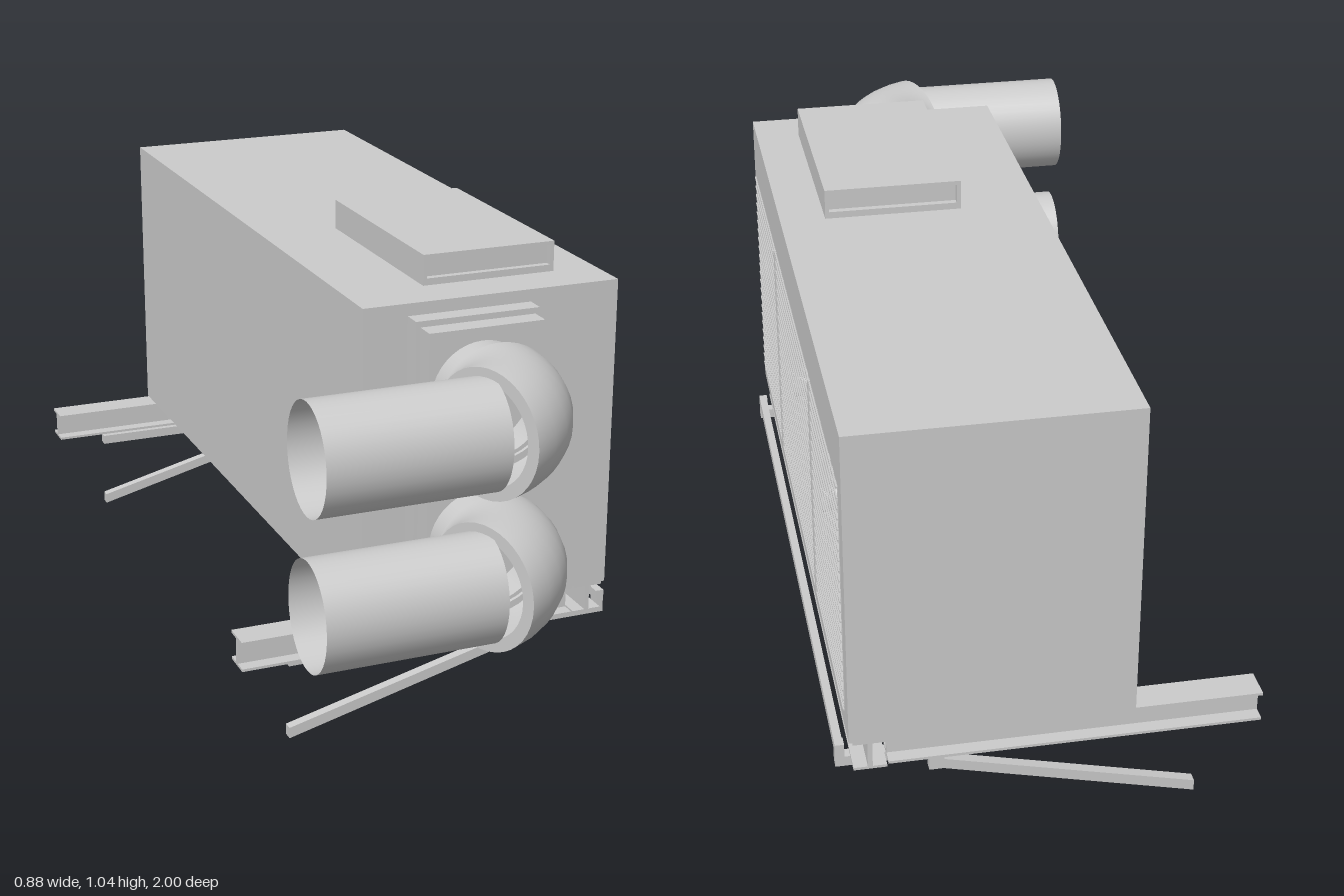
import * as THREE from 'three';

const mat = new THREE.MeshStandardMaterial({ color: 0xcccccc });
const openMat = new THREE.MeshStandardMaterial({ color: 0xcccccc, side: THREE.DoubleSide });

function add(parent, name, geo, material = mat) {
  const m = new THREE.Mesh(geo, material);
  m.name = name;
  parent.add(m);
  return m;
}

// Box given by its minimum and maximum on each axis
function box(parent, name, x0, x1, y0, y1, z0, z1) {
  const m = add(parent, name, new THREE.BoxGeometry(x1 - x0, y1 - y0, z1 - z0));
  m.position.set((x0 + x1) / 2, (y0 + y1) / 2, (z0 + z1) / 2);
  return m;
}

function rect(x0, x1, y0, y1, C = THREE.Shape) {
  return new C([[x0, y0], [x1, y0], [x1, y1], [x0, y1]].map(p => new THREE.Vector2(...p)));
}

function extrude(shape, depth) {
  return new THREE.ExtrudeGeometry(shape, { depth, bevelEnabled: false, curveSegments: 8 });
}

function group(parent, name) {
  const g = new THREE.Group();
  g.name = name;
  parent.add(g);
  return g;
}

// Hollow cabinet with one long opening on the +x side
function cabinet(parent) {
  const g = group(parent, 'cabinet'), t = 0.012;
  box(g, 'roof', -0.17, 0.405, 0.97 - t, 0.97, -1, 0.565);
  box(g, 'floor', -0.17, 0.405, 0.27, 0.27 + t, -1, 0.565);
  box(g, 'backWall', -0.17, -0.17 + t, 0.27 + t, 0.97 - t, -1, 0.565);
  for (const z of [-1, 0.565 - t]) box(g, 'endWall', -0.17 + t, 0.405, 0.27 + t, 0.97 - t, z, z + t);
  const face = rect(-0.565, 1, 0.27, 0.97);
  face.holes.push(rect(-0.537, 0.955, 0.318, 0.837, THREE.Path));
  const m = add(g, 'openingPanel', extrude(face, 0.01));
  m.rotation.y = Math.PI / 2;
  m.position.x = 0.405;
}

// Wire guard across the opening
function guard(parent) {
  const g = group(parent, 'wireGuard'), w = 0.0015;
  for (let i = 0; i <= 22; i++) {
    const y = 0.32 + 0.515 * i / 22;
    box(g, 'horizontalWire', 0.416, 0.419, y - w, y + w, -0.955, 0.537);
  }
  for (let i = 0; i <= 30; i++) {
    const z = -0.953 + 1.488 * i / 30;
    box(g, 'verticalWire', 0.413, 0.416, 0.318, 0.837, z - w, z + w);
  }
  for (const z of [0.1, -0.53]) box(g, 'mullion', 0.4, 0.42, 0.318, 0.837, z - 0.006, z + 0.006);
}

// Fan with ring, curved blades, belt drive and motor, facing +x
function fan(parent, z) {
  const g = group(parent, 'fan');
  g.position.set(0.27, 0.62, z);
  g.rotation.y = Math.PI / 2;
  const ring = add(g, 'fanRing', new THREE.CylinderGeometry(0.17, 0.17, 0.04, 32, 1, true), openMat);
  ring.rotation.x = Math.PI / 2;
  add(g, 'ringLip', new THREE.TorusGeometry(0.168, 0.005, 6, 32)).position.z = 0.02;
  const blade = new THREE.Shape();
  blade.moveTo(0.02, -0.012);
  blade.quadraticCurveTo(0.09, -0.01, 0.145, -0.06);
  blade.quadraticCurveTo(0.165, -0.03, 0.16, 0);
  blade.quadraticCurveTo(0.09, 0.035, 0.02, 0.012);
  const bladeGeo = extrude(blade, 0.004).rotateX(0.35);
  for (let i = 0; i < 9; i++) add(g, 'blade', bladeGeo).rotation.z = i * Math.PI * 2 / 9;
  for (let i = 0; i < 4; i++) {
    const strut = add(g, 'ringStrut', new THREE.BoxGeometry(0.34, 0.006, 0.006));
    strut.rotation.z = (i + 0.5) * Math.PI / 4;
    strut.position.z = -0.018;
  }
  const disc = (name, r, len, y, zc) => {
    const m = add(g, name, new THREE.CylinderGeometry(r, r, len, 20));
    m.rotation.x = Math.PI / 2;
    m.position.set(0, y, zc);
  };
  disc('hub', 0.028, 0.05, 0, 0.01);
  disc('shaft', 0.01, 0.11, 0, 0.045);
  disc('upperPulley', 0.025, 0.02, 0, 0.085);
  disc('lowerPulley', 0.033, 0.024, -0.265, 0.085);
  disc('motor', 0.03, 0.1, -0.265, 0.02);
  const guardArm = new THREE.Shape([[-0.03, 0], [-0.016, -0.265], [0.016, -0.265], [0.03, 0]]
    .map(p => new THREE.Vector2(...p)));
  guardArm.holes.push(new THREE.Path([[-0.02, -0.02], [-0.009, -0.235], [0.009, -0.235], [0.02, -0.02]]
    .map(p => new THREE.Vector2(...p))));
  add(g, 'driveBelt', extrude(guardArm, 0.014)).position.z = 0.079;
}

// Flanged outlet with an elbow turning to a straight open pipe along -x
function duct(parent, y) {
  const g = group(parent, 'duct');
  g.position.y = y;
  box(g, 'mountingFlange', -0.07, 0.21, -0.155, 0.155, 0.565, 0.607);
  box(g, 'innerFlange', -0.06, 0.2, -0.142, 0.142, 0.607, 0.652);
  const neck = add(g, 'neck', new THREE.CylinderGeometry(0.114, 0.114, 0.1, 40, 1, true), openMat);
  neck.rotation.x = Math.PI / 2;
  neck.position.set(0.06, 0, 0.695);

  const bend = group(g, 'elbowBend');
  const arc = 67 * Math.PI / 180, R = 0.15, r = 0.136;
  bend.position.set(-0.095, 0, 0.737);
  bend.rotation.x = Math.PI / 2;
  add(bend, 'elbow', new THREE.TorusGeometry(R, r, 40, 6, arc), openMat);
  for (const a of [0, arc]) {
    const lip = add(bend, 'elbowRim', new THREE.RingGeometry(0.108, r, 40), openMat);
    lip.position.set(R * Math.cos(a), R * Math.sin(a), 0);
    lip.rotation.set(Math.PI / 2, a, 0, 'ZXY');
    lip.rotation.set(Math.PI / 2, 0, a, 'ZYX');
  }
  const pipe = add(g, 'straightPipe', new THREE.CylinderGeometry(0.117, 0.117, 0.385, 40, 1, true), openMat);
  pipe.rotation.z = Math.PI / 2;
  pipe.scale.z = 0.9;
  pipe.position.set(-0.2175, 0, 0.873);
}

// I-section beam running along z from 0 to len
function beam(parent, name, len) {
  const a = 0.034, t = 0.006, w = 0.005;
  const pts = [[-a, -a], [a, -a], [a, t - a], [w, t - a], [w, a - t], [a, a - t],
    [a, a], [-a, a], [-a, a - t], [-w, a - t], [-w, t - a], [-a, t - a]];
  return add(parent, name, extrude(new THREE.Shape(pts.map(p => new THREE.Vector2(...p))), len));
}

// Support frame of beams and two wall brackets
function supports(parent) {
  const g = group(parent, 'supportFrame');
  beam(g, 'longBeam', 1.565).position.set(0.373, 0.236, -1);
  for (const z of [0.531, -0.958]) {
    const b = beam(g, 'crossBeam', 0.775);
    b.rotation.y = Math.PI / 2;
    b.position.set(-0.44, 0.236, z);
  }
  box(g, 'edgeBar', 0.42, 0.437, 0.205, 0.227, -0.947, 0.525);
  const strut = new THREE.Shape([[-0.32, 0], [0.215, 0.137], [0.245, 0.137], [0.245, 0.175],
    [0.213, 0.175], [0.213, 0.16], [-0.32, 0.025]].map(p => new THREE.Vector2(...p)));
  for (const z of [0.512, -0.935]) {
    const k = group(g, 'bracket');
    box(k, 'bracketArm', -0.32, 0.437, 0.174, 0.197, z - 0.012, z + 0.012);
    box(k, 'bracketHook', 0.418, 0.437, 0.197, 0.227, z - 0.012, z + 0.012);
    add(k, 'diagonalStrut', extrude(strut, 0.022)).position.z = z - 0.011;
  }
}

// Roof hood with recessed ends
function hood(parent) {
  const g = group(parent, 'roofHood');
  const frame = rect(0.01, 0.315, 0.97, 1.037);
  frame.holes.push(rect(0.019, 0.306, 0.985, 1.028, THREE.Path));
  add(g, 'hoodShell', extrude(frame, 0.5)).position.z = -0.04;
  box(g, 'hoodCore', 0.015, 0.31, 0.98, 1.03, -0.025, 0.445);
}

export function createModel() {
  const model = new THREE.Group();
  model.name = 'ventilationUnit';
  cabinet(model);
  guard(model);
  for (const z of [0.34, -0.21, -0.76]) fan(model, z);
  // Columns between the fans on a low ledge
  box(model, 'ledge', 0.18, 0.24, 0.28, 0.4, -0.6, 0.55);
  for (const z of [0, -0.53]) box(model, 'column', 0.21, 0.3, 0.4, 0.835, z, z + 0.108);
  for (const y of [0.788, 0.461]) duct(model, y);
  supports(model);
  hood(model);
  return model;
}
